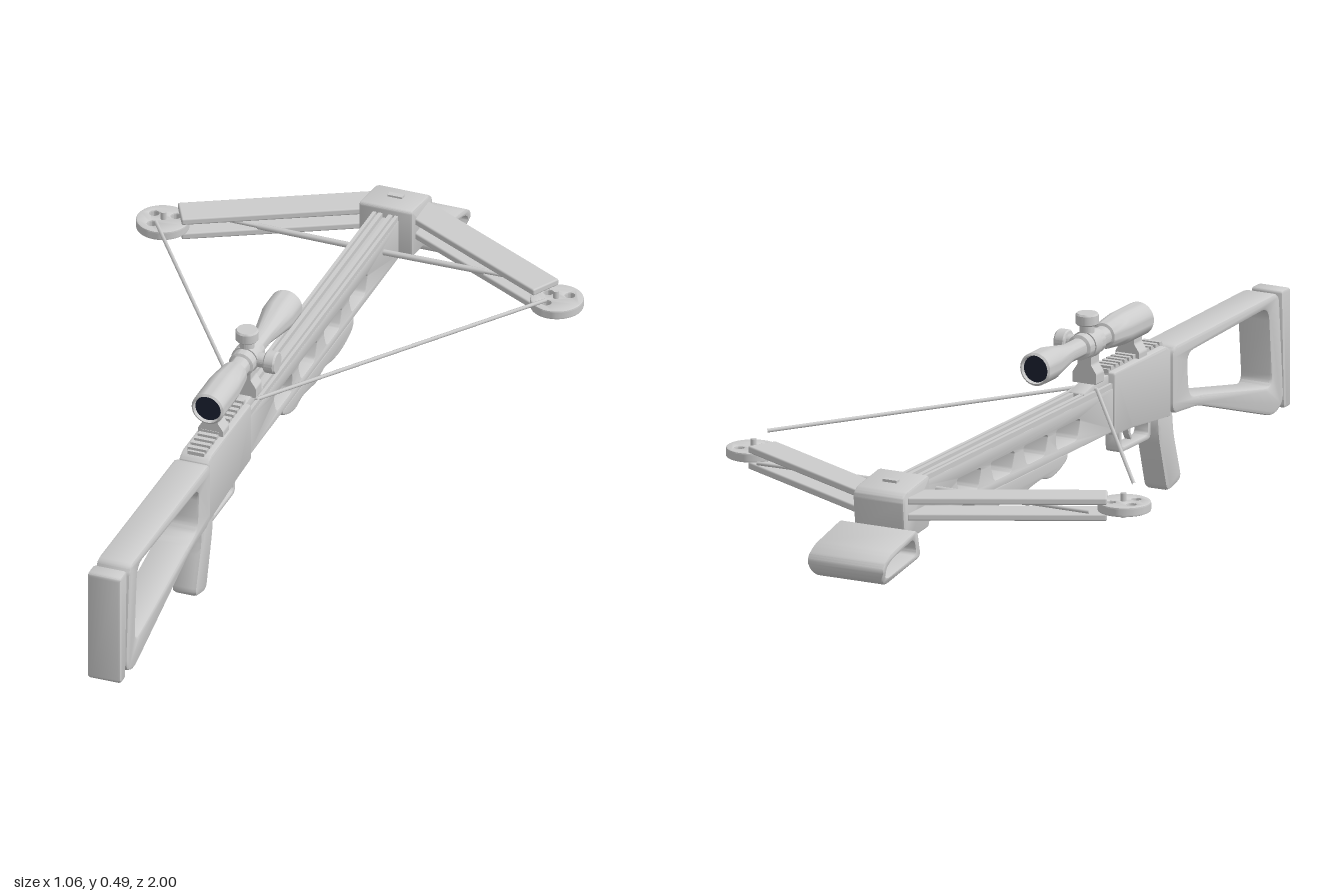
import * as THREE from 'three';
import { toCreasedNormals } from 'three/addons/utils/BufferGeometryUtils.js';
import { RoundedBoxGeometry } from 'three/addons/geometries/RoundedBoxGeometry.js';

const V = (x, y, z) => new THREE.Vector3(x, y, z);

export function createModel() {
  const root = new THREE.Group();
  const grey = new THREE.MeshStandardMaterial({ color: 0xcccccc });
  const lensMat = new THREE.MeshStandardMaterial({ color: 0x1a2030 });

  const add = (name, geo, x = 0, y = 0, z = 0, mat = grey) => {
    const m = new THREE.Mesh(geo, mat);
    m.name = name;
    m.position.set(x, y, z);
    root.add(m);
    return m;
  };

  // Closed outline with every corner rounded by r
  const outline = (pts, r, T = THREE.Shape) => {
    const s = new T(), v = pts.map(p => new THREE.Vector2(...p)), n = v.length;
    v.forEach((p, i) => {
      const toward = q => {
        const d = q.clone().sub(p);
        return p.clone().add(d.setLength(Math.min(r, d.length() * 0.45)));
      };
      const a = toward(v[(i + n - 1) % n]), b = toward(v[(i + 1) % n]);
      if (i) s.lineTo(a.x, a.y); else s.moveTo(a.x, a.y);
      s.quadraticCurveTo(p.x, p.y, b.x, b.y);
    });
    s.closePath();
    return s;
  };

  // Side profile in (z, y), extruded across x to a half width
  const sideGeo = (pts, half, r = 0.01, holes = [], bevel = 0.006, holeR = r) => {
    const s = outline(pts, r);
    s.holes = holes.map(h => outline(h, holeR, THREE.Path));
    const depth = 2 * (half - bevel);
    const g = new THREE.ExtrudeGeometry(s, {
      depth, curveSegments: 5, bevelEnabled: bevel > 0, bevelThickness: bevel,
      bevelSize: bevel, bevelOffset: -bevel, bevelSegments: 2,
    });
    g.translate(0, 0, -depth / 2).rotateY(-Math.PI / 2);
    return toCreasedNormals(g, 0.6);
  };
  const side = (name, ...a) => add(name, sideGeo(...a));

  const cord = (name, a, b, r = 0.0045) => add(name, new THREE.TubeGeometry(new THREE.LineCurve3(a, b), 1, r, 8));
  const cyl = (name, r, h, x, y, z) => add(name, new THREE.CylinderGeometry(r, r, h, 24), x, y, z);

  // Shoulder stock with its opening, and the butt pad
  side('stock', [[0.945, 0.347], [0.45, 0.341], [0.45, 0.185], [0.575, 0.176], [0.92, 0.066], [0.967, 0.088]],
    0.041, 0.025, [[[0.895, 0.322], [0.518, 0.31], [0.528, 0.207], [0.585, 0.2], [0.912, 0.134]]], 0.007, 0.03);
  side('buttPad', [[0.958, 0.345], [1, 0.345], [1, 0.072], [0.967, 0.072]], 0.04, 0.01);
  add('buttSpacer', new THREE.BoxGeometry(0.06, 0.21, 0.04), 0, 0.22, 0.95);

  // Receiver, grip and trigger
  side('receiver', [[0.452, 0.335], [0.43, 0.347], [0.188, 0.345], [0.188, 0.2], [0.27, 0.197], [0.452, 0.18]], 0.036, 0.008);
  side('grip', [[0.47, 0.2], [0.4, 0.2], [0.405, 0.14], [0.445, 0.004], [0.515, 0.022], [0.478, 0.135]], 0.03, 0.02, [], 0.009);
  side('triggerGuard', [[0.388, 0.205], [0.243, 0.205], [0.243, 0.143], [0.388, 0.143]], 0.018, 0.014,
    [[[0.376, 0.196], [0.253, 0.196], [0.253, 0.153], [0.376, 0.153]]], 0.002);
  side('trigger', [[0.325, 0.2], [0.3, 0.2], [0.302, 0.175], [0.315, 0.156], [0.32, 0.16], [0.311, 0.178]], 0.008, 0.003, [], 0.001);

  // Fore-end with four windows through it
  const windows = [[0.04, -0.075], [-0.11, -0.228], [-0.265, -0.38], [-0.42, -0.537]].map(([a, b], i) =>
    [[a, 0.276], [b, 0.276], [b + (i ? 0.018 : 0.003), 0.23], [a - 0.018, 0.23]]);
  side('foreEnd', [[0.2, 0.309], [-0.74, 0.309], [-0.74, 0.21], [0.2, 0.208]], 0.031, 0.006, windows, 0.003, 0.012);
  for (const s of [-1, 1]) {
    add('boltTrack', new THREE.BoxGeometry(0.01, 0.016, 0.92), s * 0.012, 0.312, -0.27);
    add('trackEdge', new THREE.BoxGeometry(0.008, 0.016, 0.92), s * 0.026, 0.312, -0.27);
  }
  side('boltRetainer', [[0.19, 0.338], [0.15, 0.338], [0.075, 0.322], [0.075, 0.308], [0.19, 0.308]], 0.02, 0.004, [], 0.002);
  side('foreGrip', [[-0.018, 0.215], [-0.018, 0.196], [-0.06, 0.177], [-0.1, 0.169], [-0.135, 0.179], [-0.18, 0.174],
    [-0.225, 0.165], [-0.275, 0.179], [-0.32, 0.168], [-0.37, 0.164], [-0.425, 0.173], [-0.452, 0.188], [-0.455, 0.215]],
    0.031, 0.018, [], 0.006);

  // Riser block and foot stirrup
  side('riser', [[-0.722, 0.338], [-0.83, 0.322], [-0.848, 0.308], [-0.838, 0.222], [-0.81, 0.209], [-0.722, 0.218]], 0.064, 0.01);
  add('riserSlot', new THREE.BoxGeometry(0.035, 0.006, 0.014), 0, 0.331, -0.785);
  const stirrup = sideGeo([[-0.838, 0.244], [-0.965, 0.216], [-1, 0.195], [-0.996, 0.16], [-0.965, 0.143], [-0.822, 0.178]], 0.096, 0.016,
    [[[-0.853, 0.226], [-0.96, 0.202], [-0.984, 0.186], [-0.98, 0.168], [-0.962, 0.16], [-0.842, 0.188]]], 0.003);
  const sp = stirrup.attributes.position;
  for (let i = 0; i < sp.count; i++) {
    if (sp.getY(i) < 0.18) sp.setX(i, sp.getX(i) * (1 - (0.18 - sp.getY(i)) * 4));
  }
  stirrup.computeVertexNormals();
  add('stirrup', toCreasedNormals(stirrup, 0.6));

  // Split limbs, cams, string and cables, mirrored
  for (const s of [-1, 1]) {
    const a = V(s * 0.045, 0, -0.793), b = V(s * 0.437, 0, -0.584), d = b.clone().sub(a);
    for (const y of [0.301, 0.264]) {
      const limb = add('limb', new RoundedBoxGeometry(d.length(), 0.016, 0.075, 2, 0.004), (a.x + b.x) / 2, y, (a.z + b.z) / 2);
      limb.rotation.y = -Math.atan2(d.z, d.x);
    }
    const disc = new THREE.Shape().absarc(0, 0, 0.057, 0, Math.PI * 2);
    for (const t of [0.75, 2.6, 4.2]) {
      disc.holes.push(new THREE.Path().absarc(Math.cos(t) * 0.031, Math.sin(t) * 0.031, 0.014, 0, Math.PI * 2, true));
    }
    const cam = new THREE.ExtrudeGeometry(disc, {
      depth: 0.014, bevelThickness: 0.004, bevelSize: 0.003, bevelSegments: 2, curveSegments: 20,
    }).translate(0, 0, -0.007).rotateX(-Math.PI / 2);
    add('cam', toCreasedNormals(cam, 0.6), s * 0.47, 0.282, -0.565);
    cyl('camAxle', 0.007, 0.056, s * 0.468, 0.283, -0.565);
    cord('bowString', V(s * 0.465, 0.316, -0.51), V(s * 0.025, 0.32, 0.125));
    cord('cable', V(s * 0.42, 0.278, -0.636), V(s * -0.03, 0.278, -0.63));
    cord('cableServing', V(s * 0.27, 0.278, -0.634), V(s * 0.03, 0.278, -0.631), 0.007);
  }
  cord('stringCentre', V(-0.027, 0.32, 0.125), V(0.027, 0.32, 0.125), 0.006);

  // Toothed sight rail
  add('sightRail', new THREE.BoxGeometry(0.04, 0.01, 0.25), 0, 0.346, 0.313);
  for (let i = 0; i < 12; i++) add('railTooth', new THREE.BoxGeometry(0.046, 0.008, 0.011), 0, 0.353, 0.2 + i * 0.0205);

  // Scope turned from one profile along z
  const sy = 0.423;
  const profile = [[0.03, 0.36], [0.033, 0.37], [0.038, 0.366], [0.038, 0.27], [0.036, 0.25], [0.031, 0.205], [0.029, 0.2], [0.023, 0.198],
    [0.023, 0.165], [0.029, 0.162], [0.029, 0.088], [0.022, 0.085], [0.022, 0.03], [0.037, -0.055], [0.038, -0.06],
    [0.038, -0.116], [0.033, -0.12], [0.03, -0.11]].map(([r, z]) => new THREE.Vector2(r, -z));
  const tube = add('scopeTube', toCreasedNormals(new THREE.LatheGeometry(profile, 32).rotateX(-Math.PI / 2), 0.5), 0, sy, 0);
  tube.material = grey.clone();
  tube.material.side = THREE.DoubleSide;
  for (const [z, ry] of [[0.362, 0], [-0.112, Math.PI]]) {
    add('lens', new THREE.CircleGeometry(0.033, 32), 0, sy, z, lensMat).rotation.y = ry;
  }

  // Adjustment turrets: one on top, one on the left
  const turret = [[0, 0], [0.017, 0], [0.017, 0.024], [0.023, 0.025], [0.026, 0.028], [0.026, 0.048], [0.023, 0.052], [0, 0.052]]
    .map(p => new THREE.Vector2(...p));
  const turretGeo = toCreasedNormals(new THREE.LatheGeometry(turret, 24), 0.5);
  add('topTurret', turretGeo, 0, sy + 0.02, 0.125);
  add('sideTurret', turretGeo, 0.021, sy, 0.125).rotation.z = -Math.PI / 2;

  // Scope mounts with flared feet and ring clamps
  for (const z of [0.33, 0.13]) {
    const foot = outline([[-0.03, 0.335], [0.03, 0.335], [0.03, 0.359], [0.017, 0.378], [0.017, 0.402], [-0.017, 0.402], [-0.017, 0.378], [-0.03, 0.359]], 0.003);
    add('scopeMount', new THREE.ExtrudeGeometry(foot, { depth: 0.036, bevelEnabled: false }), 0, 0, z - 0.018);
  }
  cyl('scopeRing', 0.032, 0.03, 0, sy, 0.125).rotation.x = Math.PI / 2;

  return root;
}
